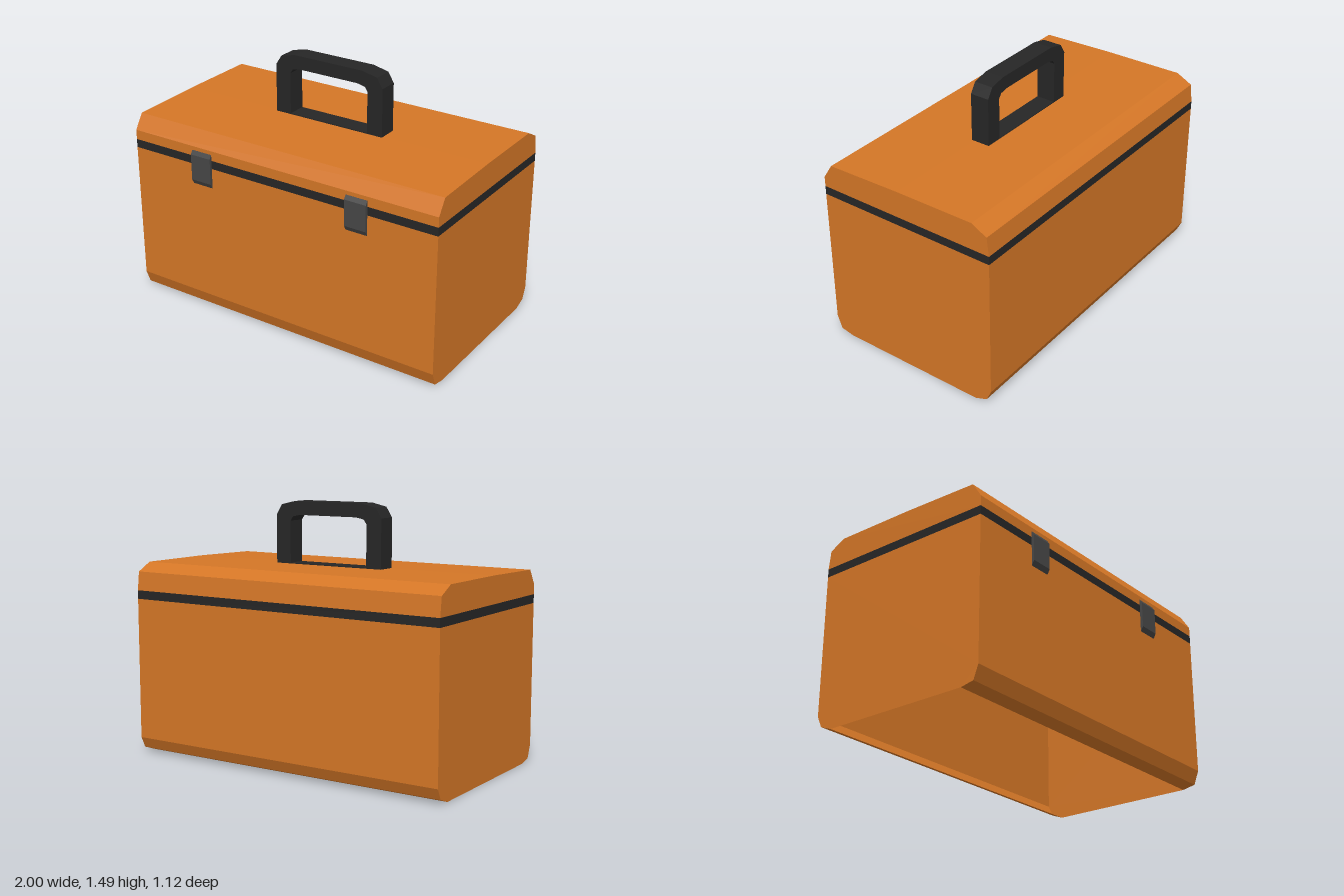
import * as THREE from 'three';
import { mergeGeometries } from 'three/addons/utils/BufferGeometryUtils.js';

const material = (color) =>
  new THREE.MeshStandardMaterial({ color, flatShading: true, side: THREE.DoubleSide });
const orange = material(0xd47626);
const black = material(0x262626);
const grey = material(0x464646);

// Sweeps open profile runs of [z, y] points along x and closes both ends.
// Runs go up the front and down the back; gaps between runs stay open.
function shell(name, x0, x1, runs, mat) {
  const parts = [];
  for (const run of runs) {
    for (let i = 0; i < run.length - 1; i++) {
      const [z0, y0] = run[i];
      const [z1, y1] = run[i + 1];
      const quad = new THREE.BufferGeometry().setFromPoints([
        [x0, y0, z0], [x1, y0, z0], [x1, y1, z1],
        [x0, y0, z0], [x1, y1, z1], [x0, y1, z1],
      ].map((p) => new THREE.Vector3(...p)));
      parts.push(quad);
    }
  }
  for (const side of [-1, 1]) {
    const outline = runs.flat().map(([z, y]) => new THREE.Vector2(-side * z, y));
    const cap = new THREE.ShapeGeometry(new THREE.Shape(outline)).toNonIndexed();
    cap.rotateY((side * Math.PI) / 2).translate(side < 0 ? x0 : x1, 0, 0);
    cap.deleteAttribute('normal');
    cap.deleteAttribute('uv');
    parts.push(cap);
  }
  const geometry = mergeGeometries(parts);
  geometry.computeVertexNormals();
  const mesh = new THREE.Mesh(geometry, mat);
  mesh.name = name;
  return mesh;
}

// Mirrors the right half of an outline to make a closed symmetric loop.
function symmetric(half) {
  const mirrored = half.map(([x, y]) => [-x, y]).reverse();
  return [...half, ...mirrored].map(([x, y]) => new THREE.Vector2(x, y));
}

export function createModel() {
  const group = new THREE.Group();
  group.name = 'toolbox';

  // Lower box, open underneath
  group.add(shell('body', -1, 1, [
    [[0.437, 0], [0.516, 0.016], [0.546, 0.095], [0.546, 0.92]],
    [[-0.56, 0.92], [-0.56, 0.092], [-0.53, 0.028], [-0.457, 0]],
  ], orange));

  // Flush dark seam between box and lid
  group.add(shell('seamBand', -1, 1, [
    [[0.546, 0.92], [0.546, 0.97]],
    [[-0.56, 0.97], [-0.56, 0.92]],
  ], black));

  // Lid with bevelled long edges
  group.add(shell('lid', -1, 1, [[
    [0.546, 0.97], [0.546, 1.028], [0.49, 1.115], [0.03, 1.126],
    [-0.453, 1.128], [-0.547, 1.079], [-0.56, 0.97],
  ]], orange));

  // Front latches
  for (const [name, x] of [['rightLatch', -0.516], ['leftLatch', 0.512]]) {
    group.add(shell(name, x - 0.067, x + 0.067, [[
      [0.54, 0.8], [0.547, 0.8], [0.562, 0.828], [0.562, 0.982], [0.547, 1.005], [0.54, 1.005],
    ]], grey));
  }

  // Carrying handle with a thin foot plate
  const shape = new THREE.Shape(symmetric([
    [0.355, 1.12], [0.355, 1.41], [0.318, 1.468], [0.225, 1.489],
  ]));
  shape.holes.push(new THREE.Path(symmetric([
    [0.258, 1.131], [0.258, 1.375], [0.24, 1.4], [0.19, 1.41],
  ])));
  const handle = new THREE.Mesh(
    new THREE.ExtrudeGeometry(shape, { depth: 0.115, bevelEnabled: false }), black);
  handle.position.z = -0.066;
  handle.name = 'handle';
  group.add(handle);

  return group;
}
